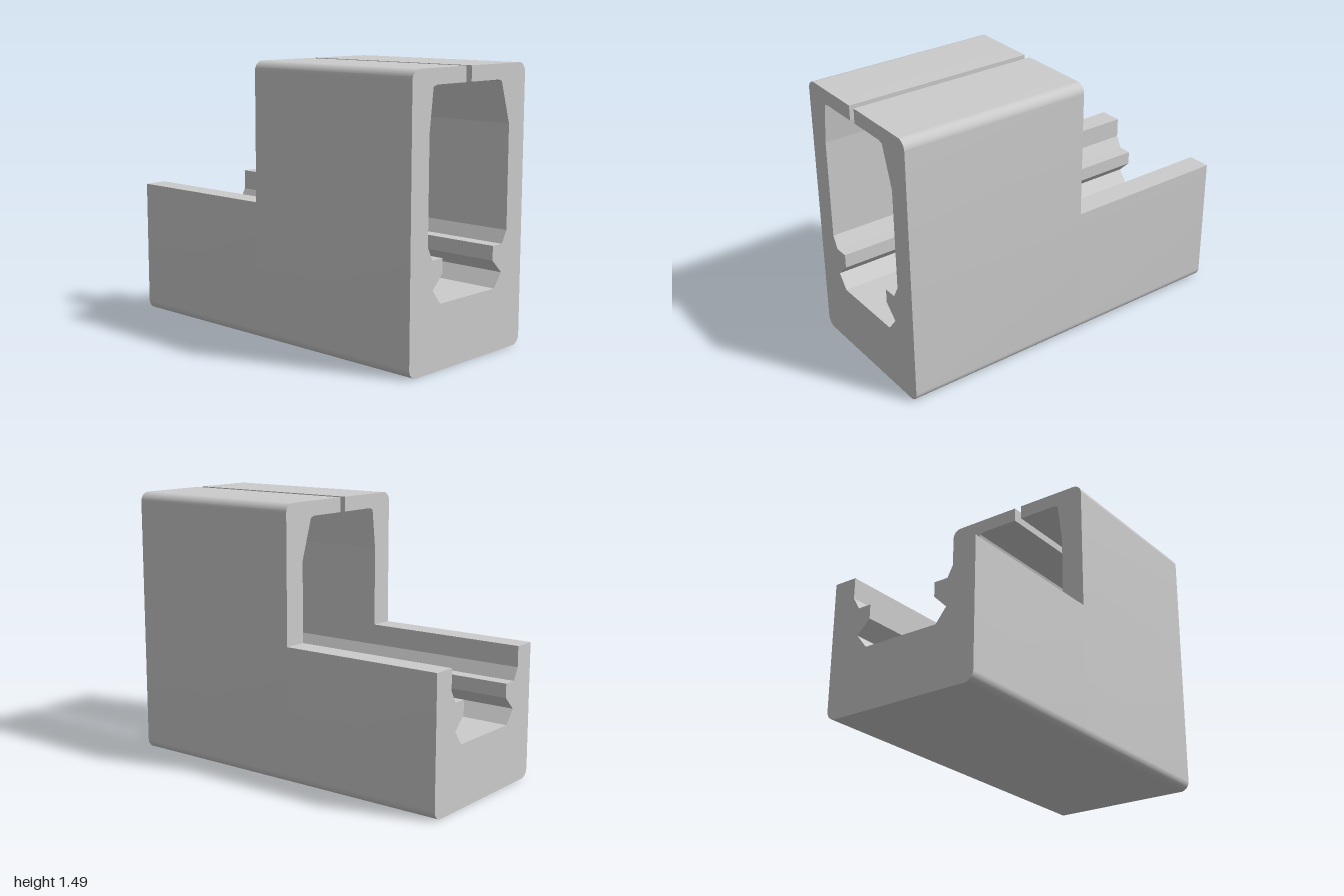
import * as THREE from 'three';
import { mergeGeometries, toCreasedNormals } from 'three/addons/utils/BufferGeometryUtils.js';

const HALF = 0.45, TOP = 1.493, CUT = 0.746, STEP_Z = -0.067, R = 0.052;
const pts = (list) => list.map(([x, y]) => new THREE.Vector2(x, y));

// Rounded corner as a run of points, counter-clockwise from angle `start`
function corner(cx, cy, start, n = 18) {
  return Array.from({ length: n + 1 }, (_, i) => {
    const a = start + (i / n) * Math.PI / 2;
    return new THREE.Vector2(cx + R * Math.cos(a), cy + R * Math.sin(a));
  });
}

// Side walls swept along z from a counter-clockwise outline
function walls(outline, z0, z1) {
  const pos = [];
  outline.forEach((a, i) => {
    const b = outline[(i + 1) % outline.length];
    pos.push(a.x, a.y, z1, a.x, a.y, z0, b.x, b.y, z0);
    pos.push(a.x, a.y, z1, b.x, b.y, z0, b.x, b.y, z1);
  });
  const g = new THREE.BufferGeometry();
  g.setAttribute('position', new THREE.Float32BufferAttribute(pos, 3));
  return g;
}

// Flat end face, turned to +z or -z
function cap(outline, z, front) {
  const g = new THREE.ShapeGeometry(new THREE.Shape(outline));
  if (!front) g.setIndex(Array.from(g.index.array).reverse());
  g.translate(0, 0, z);
  const flat = g.toNonIndexed();
  flat.deleteAttribute('uv');
  flat.deleteAttribute('normal');
  return flat;
}

export function createModel() {
  const group = new THREE.Group();
  const material = new THREE.MeshStandardMaterial({ color: 0xcccccc });

  // Upper jaws either side of the off-centre slot
  const rightJaw = [
    ...pts([[HALF, CUT]]),
    ...corner(HALF - R, TOP - R, 0),
    ...pts([[0, TOP], [0, 1.413], [0.223, 1.413], [0.25, 1.404], [0.32, 1.185], [0.32, CUT]]),
  ];
  const leftJaw = [
    ...pts([[-0.32, CUT], [-0.32, 1.185], [-0.294, 1.404], [-0.266, 1.413], [-0.043, 1.413], [-0.043, TOP]]),
    ...corner(-HALF + R, TOP - R, Math.PI / 2),
    ...pts([[-HALF, CUT]]),
  ];

  // Lower channel with its undercut rails, running from +x to -x
  const channel = pts([
    [0.32, 0.632], [0.282, 0.565], [0.205, 0.565], [0.205, 0.488], [0.281, 0.415], [0.22, 0.339],
    [-0.22, 0.339], [-0.281, 0.415], [-0.206, 0.488], [-0.206, 0.565], [-0.284, 0.565], [-0.32, 0.632],
  ]);

  // Rounded underside
  const base = [...corner(-HALF + R, R, Math.PI), ...corner(HALF - R, R, Math.PI * 1.5)];

  const sleeveOutline = [...rightJaw, ...channel, ...leftJaw, ...base];
  const troughOutline = [
    ...pts([[HALF, CUT], [0.32, CUT]]), ...channel, ...pts([[-0.32, CUT], [-HALF, CUT]]), ...base,
  ];

  const add = (name, parts) => {
    const mesh = new THREE.Mesh(toCreasedNormals(mergeGeometries(parts), 0.1), material);
    mesh.name = name;
    group.add(mesh);
  };

  // Tall front half; its rear face shows only above the trough
  add('slottedSleeve', [
    walls(sleeveOutline, STEP_Z, 1),
    cap(sleeveOutline, 1, true),
    cap(rightJaw, STEP_Z, false),
    cap(leftJaw, STEP_Z, false),
  ]);
  // Low open rear half
  add('openTrough', [walls(troughOutline, -1, STEP_Z), cap(troughOutline, -1, false)]);

  return group;
}
